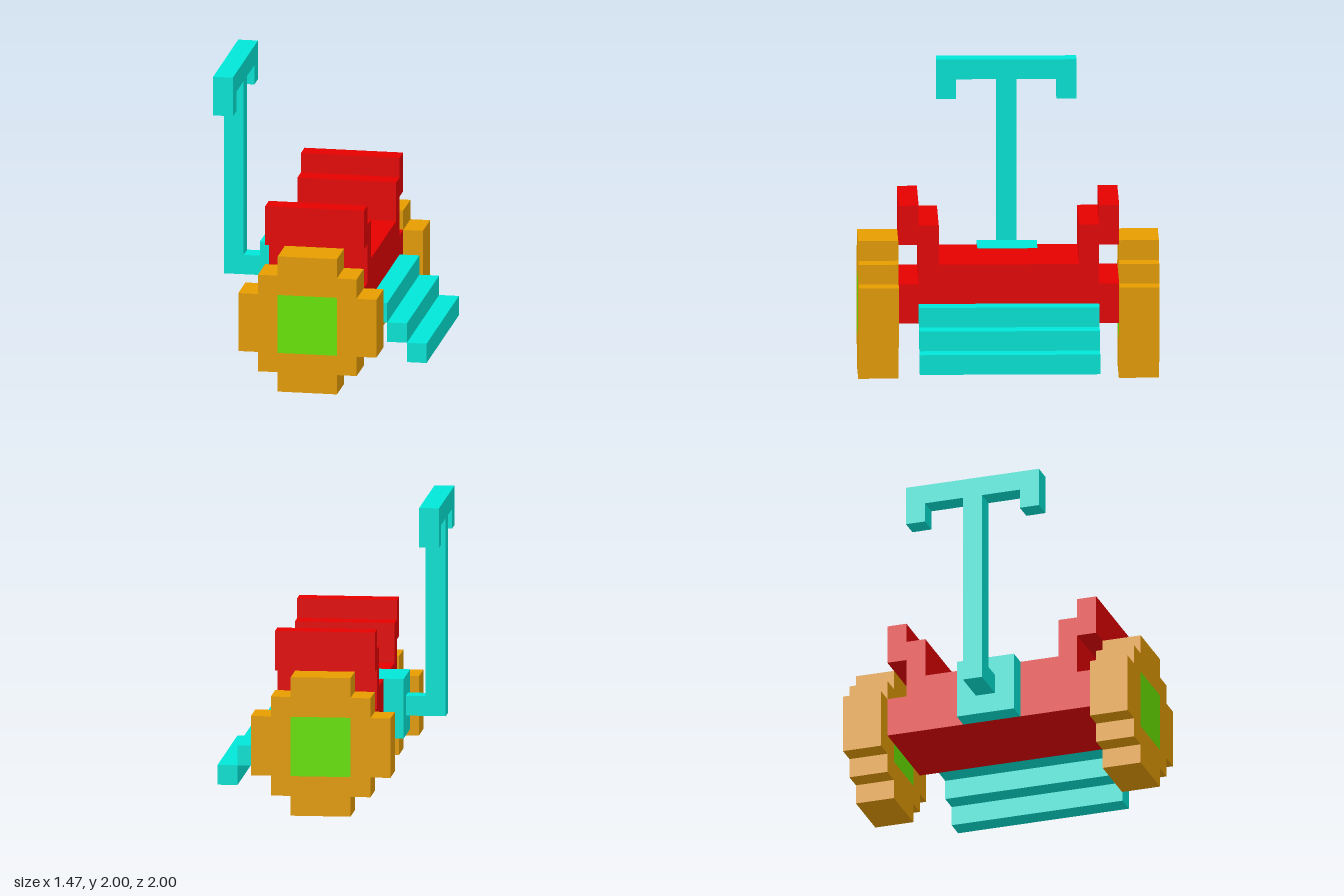
import * as THREE from 'three';

const U = 2 / 15; // one block

const material = (name, color) => {
  const m = new THREE.MeshStandardMaterial({ color });
  m.name = name;
  return m;
};

export function createModel() {
  const red = material('red', 0xe60000);
  const teal = material('teal', 0x00e6d7);
  const ochre = material('ochre', 0xe69d00);
  const green = material('green', 0x69e600);

  const model = new THREE.Group();
  model.name = 'vehicle';

  const group = (name) => {
    const g = new THREE.Group();
    g.name = name;
    model.add(g);
    return g;
  };

  const add = (parent, name, geometry, mat) => {
    const mesh = new THREE.Mesh(geometry.scale(U, U, U), mat);
    mesh.name = name;
    parent.add(mesh);
  };

  // Box from its ranges, measured in blocks
  const box = (parent, name, mat, [x0, x1], [y0, y1], [z0, z1]) =>
    add(parent, name, new THREE.BoxGeometry(x1 - x0, y1 - y0, z1 - z0)
      .translate((x0 + x1) / 2, (y0 + y1) / 2, (z0 + z1) / 2), mat);

  // Closed outline from its right half, listed bottom to top
  const mirrored = (half) => new THREE.Shape(
    [...half, ...half.map(([x, y]) => [-x, y]).reverse()].map(([x, y]) => new THREE.Vector2(x, y)));

  const extrude = (shape, depth) =>
    new THREE.ExtrudeGeometry(shape, { depth, bevelEnabled: false }).translate(0, 0, -depth / 2);

  // Body with stub axles and stepped end walls, one outline swept across x
  const side = mirrored([[5.5, 3], [5.5, 5], [4.5, 5], [4.5, 7], [5.5, 7], [5.5, 9],
    [4.5, 9], [4.5, 8], [3.5, 8], [3.5, 6]]);
  add(model, 'body', extrude(side, 5).rotateY(Math.PI / 2), red);

  // Stepped wheels with a hub running through
  for (const [name, s] of [['frontWheel', 1], ['backWheel', -1]]) {
    const wheel = group(name);
    const rim = mirrored([[1.5, 0], [1.5, 1], [2.5, 1], [2.5, 2], [3.5, 2],
      [3.5, 5], [2.5, 5], [2.5, 6], [1.5, 6], [1.5, 7]]);
    rim.holes.push(mirrored([[1.5, 2], [1.5, 5]]));
    add(wheel, 'tyre', extrude(rim, 2).translate(0, 0, 6.5 * s), ochre);
    box(wheel, 'hub', green, [-1.5, 1.5], [2, 5], [6.5 * s - 1, 6.5 * s + 1]);
  }

  // Three boarding steps
  const steps = group('steps');
  for (let i = 0; i < 3; i++) {
    box(steps, 'step', teal, [2.5 + i, 3.5 + i], [3 - i, 4 - i], [-4.5, 4.5]);
  }

  // Steering post on a bracket let into the body top
  const steering = group('steering');
  box(steering, 'bracket', teal, [-3.5, -2.5], [3, 6], [-1.5, 1.5]);
  box(steering, 'bracketTop', teal, [-3.5, -1.5], [5.99, 6.01], [-1.5, 1.5]);
  box(steering, 'arm', teal, [-4.5, -3.5], [4, 5], [-0.5, 0.5]);
  box(steering, 'post', teal, [-5.5, -4.5], [4, 14], [-0.5, 0.5]);
  box(steering, 'handlebar', teal, [-5.5, -4.5], [14, 15], [-3.5, 3.5]);
  for (const z of [-3, 3]) {
    box(steering, 'grip', teal, [-5.5, -4.5], [13, 14], [z - 0.5, z + 0.5]);
  }

  return model;
}
